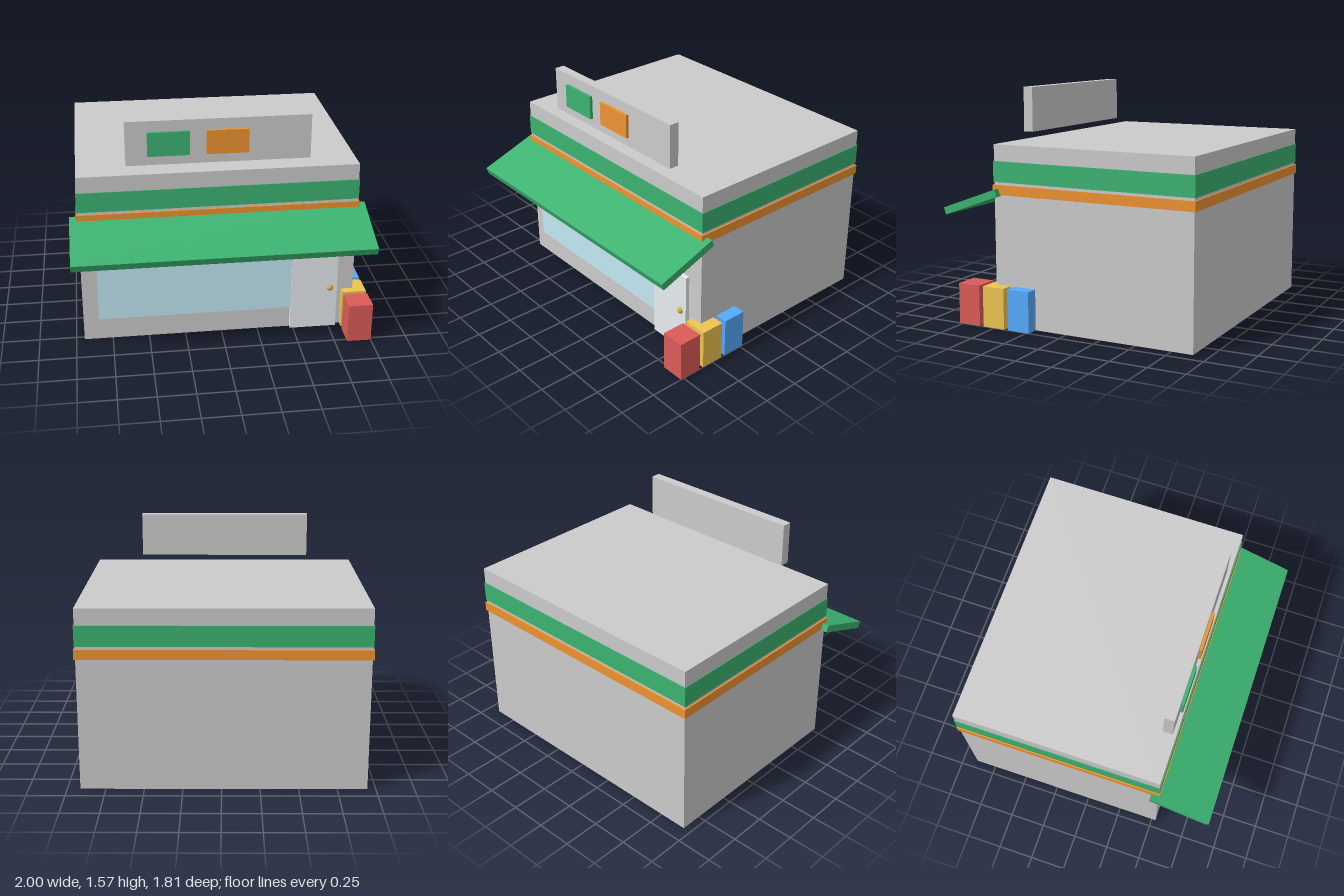
import * as THREE from 'three';

const paint = (color) => new THREE.MeshStandardMaterial({ color });

export function createModel() {
  const model = new THREE.Group();
  model.name = 'shop';

  const grey = paint(0xcccccc);
  const green = paint(0x3cb371);
  const orange = paint(0xee9331);

  // Adds a box given its extents along each axis
  function box(name, material, [x0, x1], [y0, y1], [z0, z1]) {
    const mesh = new THREE.Mesh(new THREE.BoxGeometry(x1 - x0, y1 - y0, z1 - z0), material);
    mesh.position.set((x0 + x1) / 2, (y0 + y1) / 2, (z0 + z1) / 2);
    mesh.name = name;
    model.add(mesh);
    return mesh;
  }

  // Building body with two stripes wrapped around it
  const wallX = [-0.945, 0.915], wallZ = [-0.895, 0.53];
  const grow = ([a, b], d) => [a - d, b + d];
  box('building', grey, wallX, [0, 1.21], wallZ);
  box('upperStripe', green, grow(wallX, 0.005), [0.963, 1.1], grow(wallZ, 0.005));
  box('lowerStripe', orange, grow(wallX, 0.01), [0.88, 0.945], grow(wallZ, 0.01));

  // Sloping awning
  const awning = new THREE.Mesh(new THREE.BoxGeometry(1.97, 0.05, 0.434), green);
  awning.position.set(-0.015, 0.823, 0.692);
  awning.rotation.x = THREE.MathUtils.degToRad(20);
  awning.name = 'awning';
  model.add(awning);

  // Shop window, door and knob
  box('window', paint(0xc2e9f4), [-0.84, 0.478], [0.165, 0.87], [0.51, 0.553]);
  box('door', paint(0xe8ecf0), [0.478, 0.8], [0, 0.578], [0.51, 0.558]);
  const knob = new THREE.Mesh(new THREE.SphereGeometry(0.021, 16, 12), paint(0xd4a030));
  knob.position.set(0.75, 0.305, 0.558);
  knob.name = 'doorKnob';
  model.add(knob);

  // Roof sign board with two coloured panels
  box('signBoard', grey, [-0.62, 0.585], [1.265, 1.565], [0.44, 0.508]);
  box('signPanelGreen', green, [-0.48, -0.207], [1.33, 1.492], [0.49, 0.528]);
  box('signPanelOrange', orange, [-0.098, 0.177], [1.33, 1.492], [0.49, 0.528]);

  // Row of bins beside the door
  [['redBin', 0xdc5c57], ['yellowBin', 0xeec450], ['blueBin', 0x56abfd]].forEach(([name, color], i) => {
    const z = 0.692 - i * 0.191;
    box(name, paint(color), [0.835, 1], [0, 0.275], [z - 0.081, z + 0.081]);
  });

  return model;
}
